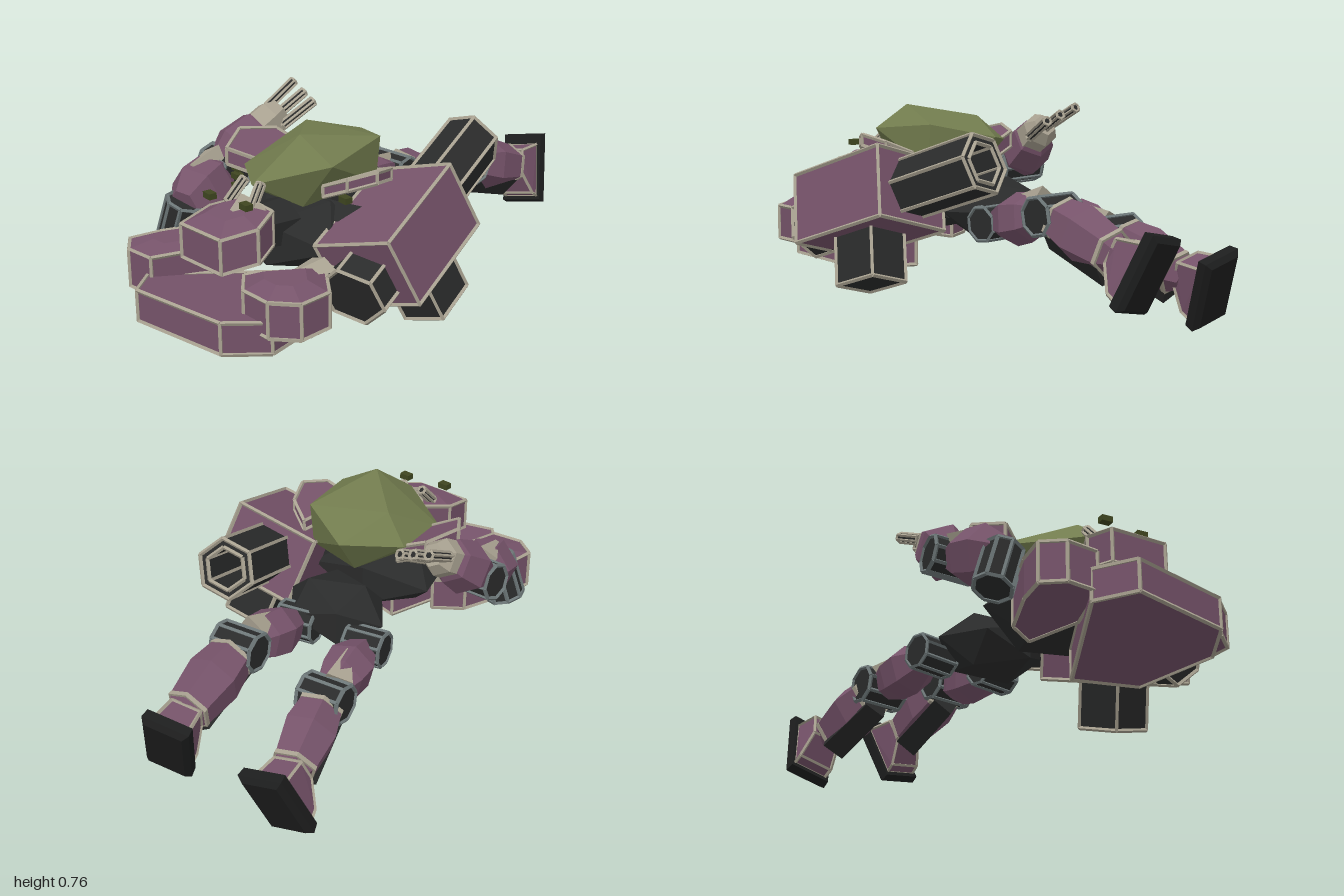
import * as THREE from 'three';
import { mergeGeometries } from 'three/addons/utils/BufferGeometryUtils.js';
import { ConvexGeometry } from 'three/addons/geometries/ConvexGeometry.js';

const V = (x, y, z) => new THREE.Vector3(x, y, z);
const UP = V(0, 1, 0);

function material(name, color) {
  const m = new THREE.MeshStandardMaterial({ color });
  m.name = name;
  return m;
}

export function createModel() {
  const model = new THREE.Group();
  model.name = 'robot';
  const plum = material('plum armour', 0x76536a);
  const olive = material('olive shell', 0x727c4e);
  const dark = material('dark frame', 0x2a2b2b);
  const black = material('black sole', 0x1d1e1e);
  const bone = material('bone trim', 0xa8a190);
  const grey = material('grey band', 0x6c7677);
  const moss = material('moss light', 0x3f4620);

  // Flat-faced mesh
  function add(name, geo, mat, parent = model) {
    const g = geo.index ? geo.toNonIndexed() : geo;
    g.computeVertexNormals();
    const mesh = new THREE.Mesh(g, mat);
    mesh.name = name;
    parent.add(mesh);
  }

  // Place a y-axis geometry between two points
  function span(geo, a, b) {
    const dir = b.clone().sub(a).normalize();
    geo.applyQuaternion(new THREE.Quaternion().setFromUnitVectors(UP, dir));
    return geo.translate(a.x, a.y, a.z);
  }

  // Thin trim along all hard edges of a solid
  function edged(name, geo, mat, parent = model, r = 0.008, trim = bone) {
    add(name, geo, mat, parent);
    const p = new THREE.EdgesGeometry(geo, 20).attributes.position;
    const bars = [];
    for (let i = 0; i < p.count; i += 2) {
      const a = new THREE.Vector3().fromBufferAttribute(p, i);
      const b = new THREE.Vector3().fromBufferAttribute(p, i + 1);
      const len = a.distanceTo(b);
      if (len < 0.004) continue;
      bars.push(span(new THREE.CylinderGeometry(r, r, len, 4).translate(0, len / 2, 0), a, b));
    }
    add(name + 'Trim', mergeGeometries(bars), trim, parent);
  }

  // Straight trimmed rod, used for joints, fingers and horns
  function rod(name, a, b, r, sides, edge, trim) {
    const len = a.distanceTo(b);
    const geo = new THREE.CylinderGeometry(r, r, len, sides).translate(0, len / 2, 0);
    edged(name, span(geo, a, b), dark, model, edge, trim);
  }

  // Trimmed armour slab from an [x, z] outline, tilted in x and z, with a plain faceted roof
  function slab(name, outline, y0, y1, roof, tiltZ = 0, tiltX = 0) {
    const n = outline.length;
    const cx = outline.reduce((s, p) => s + p[0], 0) / n;
    const cz = outline.reduce((s, p) => s + p[1], 0) / n;
    const layer = (y, k) => outline.map(([x, z]) => V(cx + (x - cx) * k,
      y + k * (tiltZ * (z - cz) + tiltX * (x - cx)), cz + (z - cz) * k));
    edged(name, new ConvexGeometry([...layer(y0, 1), ...layer(y1, 1)]), plum);
    if (roof > y1) add(name + 'Roof', new ConvexGeometry([...layer(y1, 0.98), ...layer(roof, 0.5)]), plum);
  }

  // Limb section: profile of [t, radius] between two points, with trim rings at given [t, radius]
  function limb(name, a, b, profile, mat, sides = 6, rings = []) {
    const len = a.distanceTo(b);
    const pts = [[profile[0][0], 0], ...profile, [profile.at(-1)[0], 0]];
    const geo = new THREE.LatheGeometry(pts.map(([t, r]) => new THREE.Vector2(r, t * len)), sides);
    add(name, span(geo, a, b), mat);
    for (const [t, r] of rings) {
      const ring = new THREE.CylinderGeometry(r, r, 0.016, sides).translate(0, t * len, 0);
      add(name + 'Ring', span(ring, a, b), bone);
    }
  }

  // Faceted ellipsoid
  function gem(name, c, s, spin) {
    const g = new THREE.IcosahedronGeometry(1, 0).rotateY(spin).scale(s.x, s.y, s.z).translate(c.x, c.y, c.z);
    add(name, g, dark);
  }

  // Body and shell
  gem('torso', V(0.02, 0.385, 0.35), V(0.29, 0.15, 0.24), 0.3);
  gem('pelvis', V(-0.08, 0.385, -0.02), V(0.22, 0.125, 0.17), 0.6);
  add('backShell', new ConvexGeometry([
    V(-0.09, 0.65, -0.02), V(0.14, 0.7, 0.07), V(0.23, 0.67, 0.35), V(0.07, 0.61, 0.58),
    V(-0.19, 0.58, 0.44), V(-0.24, 0.62, 0.17), V(0.08, 0.755, 0.38), V(-0.135, 0.715, 0.2),
    V(0.12, 0.5, 0.4), V(-0.11, 0.48, 0.4), V(0.14, 0.53, 0.09), V(-0.06, 0.49, 0.1),
  ]), olive);
  limb('neck', V(0.06, 0.44, 0.45), V(0.09, 0.46, 0.65), [[0, 0.1], [1, 0.08]], dark);

  // Head with brow plate, lights and horns
  slab('head', [[-0.03, 0.81], [0.19, 0.79], [0.24, 0.67], [0.18, 0.57], [0, 0.57], [-0.05, 0.68]], 0.395, 0.52, 0.55, -0.22);
  add('browPlate', new ConvexGeometry([
    V(0.0, 0.535, 0.58), V(0.18, 0.535, 0.58), V(0.1, 0.545, 0.7), V(0.03, 0.573, 0.6), V(0.15, 0.573, 0.6),
  ]), bone);
  const lights = [[0.005, 0.585, 0.71], [0.17, 0.585, 0.67], [0.235, 0.54, 0.3],
    [-0.265, 0.54, 0.42], [-0.272, 0.505, 0.42], [-0.272, 0.465, 0.42]];
  for (const [x, y, z] of lights) {
    add('light', new THREE.BoxGeometry(0.042, 0.022, 0.03).translate(x, y, z), moss);
  }
  rod('horn', V(0.01, 0.545, 0.64), V(0.01, 0.615, 0.57), 0.016, 6, 0.006);
  rod('horn', V(0.135, 0.545, 0.63), V(0.095, 0.615, 0.56), 0.016, 6, 0.006);

  // Front armour
  slab('frontPlate', [[-0.04, 0.99], [0.33, 0.89], [0.4, 0.73], [0.27, 0.46], [0.02, 0.42], [-0.155, 0.88]],
    0.14, 0.255, 0.255, 0.12);
  slab('rightChestPlate', [[-0.33, 0.85], [-0.32, 0.73], [-0.26, 0.53], [-0.16, 0.45], [-0.08, 0.66], [-0.13, 0.88], [-0.25, 0.9]],
    0.2, 0.345, 0.365);
  slab('leftChestPlate', [[0.19, 0.7], [0.32, 0.45], [0.48, 0.55], [0.5, 0.68], [0.42, 0.76], [0.29, 0.77]],
    0.215, 0.345, 0.385);
  for (const [x, y, z] of [[-0.175, 0.35, 0.55], [0.315, 0.36, 0.55]]) {
    add('chestWedge', new THREE.ConeGeometry(0.075, 0.2, 4).rotateX(Math.PI / 2).scale(1, 0.38, 1).translate(x, y, z), bone);
  }

  // Tilted pads beside the shell
  slab('leftPad', [[0.2, 0.1], [0.29, 0.14], [0.34, 0.24], [0.3, 0.34], [0.2, 0.37]], 0.585, 0.625, 0.625, 0, 0.45);
  slab('rightPad', [[-0.34, 0.36], [-0.3, 0.22], [-0.2, 0.18], [-0.18, 0.4], [-0.26, 0.47]], 0.565, 0.625, 0.625, 0, -0.4);

  // Cannon on the left arm, built along its own z
  const cannon = new THREE.Group();
  cannon.name = 'cannon';
  const axis = V(0.34, -0.32, 0.88).normalize();
  const across = V(0.87, 0.26, -0.24).normalize();
  const rise = axis.clone().cross(across).normalize();
  across.copy(rise).cross(axis);
  cannon.quaternion.setFromRotationMatrix(new THREE.Matrix4().makeBasis(across, rise, axis));
  cannon.position.set(0.355, 0.41, 0.16);
  model.add(cannon);
  edged('cannonBody', new THREE.BoxGeometry(0.33, 0.265, 0.45), plum, cannon);
  edged('magazine', new THREE.BoxGeometry(0.17, 0.2, 0.19).translate(0.01, -0.215, -0.01), dark, cannon);
  edged('cannonBase', new THREE.CylinderGeometry(0.13, 0.13, 0.16, 6).rotateX(Math.PI / 2).scale(1, 0.9, 1).translate(-0.015, -0.02, 0.24), dark, cannon);
  const hex = (r, Kind) => new Kind(Array.from({ length: 6 }, (_, i) =>
    new THREE.Vector2(r * Math.cos(i * Math.PI / 3), r * Math.sin(i * Math.PI / 3))));
  const bore = hex(0.112, THREE.Shape);
  bore.holes.push(hex(0.08, THREE.Path));
  edged('barrel', new THREE.ExtrudeGeometry(bore, { depth: 0.4, bevelEnabled: false }).translate(0, 0, -0.585), dark, cannon);
  limb('leftShoulder', V(0.12, 0.43, 0.3), V(0.32, 0.42, 0.2), [[0, 0.08], [1, 0.08]], dark);

  // Right arm raised back
  rod('rightShoulder', V(-0.385, 0.27, 0.63), V(-0.335, 0.43, 0.61), 0.07, 8, 0.008, grey);
  limb('rightUpperArm', V(-0.33, 0.42, 0.62), V(-0.42, 0.48, 0.4), [[0, 0.06], [0.35, 0.11], [0.75, 0.1], [1, 0.06]], plum);
  limb('upperArmCap', V(-0.42, 0.535, 0.42), V(-0.38, 0.54, 0.55), [[0, 0.055], [1, 0.01]], bone, 4);
  rod('rightElbow', V(-0.51, 0.49, 0.38), V(-0.34, 0.48, 0.38), 0.068, 8, 0.008, grey);
  limb('rightForearm', V(-0.43, 0.5, 0.38), V(-0.41, 0.635, 0.19), [[0, 0.07], [0.35, 0.105], [0.8, 0.085], [1, 0.05]], plum);
  limb('rightWrist', V(-0.41, 0.61, 0.23), V(-0.405, 0.67, 0.13), [[0, 0.074], [0.6, 0.072], [1, 0.045]], bone);
  for (const [x, y, lean] of [[-0.455, 0.755, -0.02], [-0.405, 0.73, 0], [-0.355, 0.708, 0.01]]) {
    rod('finger', V(x, y - 0.085, 0.16), V(x + lean, y - 0.012, 0.02), 0.017, 6, 0.006);
  }

  // Legs trailing behind: hip, knee, ankle, sole centre, foot roll
  const legs = [
    ['left', V(-0.01, 0.35, -0.15), V(-0.045, 0.42, -0.49), V(-0.1, 0.31, -0.83), V(-0.135, 0.27, -0.92), 0.22],
    ['right', V(-0.29, 0.34, -0.09), V(-0.375, 0.31, -0.4), V(-0.475, 0.185, -0.69), V(-0.52, 0.16, -0.79), -0.24],
  ];
  for (const [side, hip, knee, ankle, sole, roll] of legs) {
    rod(side + 'Hip', hip.clone().add(V(-0.07, 0, 0.02)), hip.clone().add(V(0.07, 0, -0.02)), 0.065, 8, 0.007, grey);
    limb(side + 'Thigh', hip, knee, [[0.05, 0.05], [0.4, 0.098], [0.65, 0.09], [0.95, 0.05]], plum);
    limb(side + 'ThighCap', knee.clone().add(V(0, 0.03, 0.06)), hip.clone().lerp(knee, 0.45).add(V(0, 0.08, 0)),
      [[0, 0.068], [1, 0.01]], bone, 4);
    rod(side + 'Knee', knee.clone().add(V(-0.08, 0, 0.015)), knee.clone().add(V(0.08, 0, -0.015)), 0.07, 8, 0.008, grey);
    limb(side + 'Shin', knee, ankle, [[0.14, 0.085], [0.45, 0.105], [0.85, 0.085], [1, 0.05]], plum, 6, [[0.15, 0.09], [0.86, 0.088]]);
    const under = V(0, -0.055, 0.03);
    limb(side + 'Calf', knee.clone().add(under), ankle.clone().add(under), [[0.1, 0.06], [0.9, 0.065]], dark, 4);

    // Foot with flat sole
    const foot = new THREE.Group();
    foot.name = side + 'Foot';
    foot.position.copy(sole);
    foot.rotation.set(-0.37, 0.28, roll, 'YXZ');
    model.add(foot);
    add('sole', new ConvexGeometry([-1, 1].flatMap(i => [-1, 1].flatMap(j => [
      V(i * 0.07, j * 0.125, -0.028), V(i * 0.088, j * 0.143, -0.01), V(i * 0.084, j * 0.138, 0.025),
    ]))), black, foot);
    edged('instep', new ConvexGeometry([-1, 1].flatMap(i => [
      V(i * 0.07, -0.12, 0.02), V(i * 0.065, 0.095, 0.02), V(i * 0.07, -0.11, 0.06),
      V(i * 0.055, -0.03, 0.13), V(i * 0.055, 0.06, 0.13),
    ])), plum, foot, 0.007);
  }
  return model;
}
